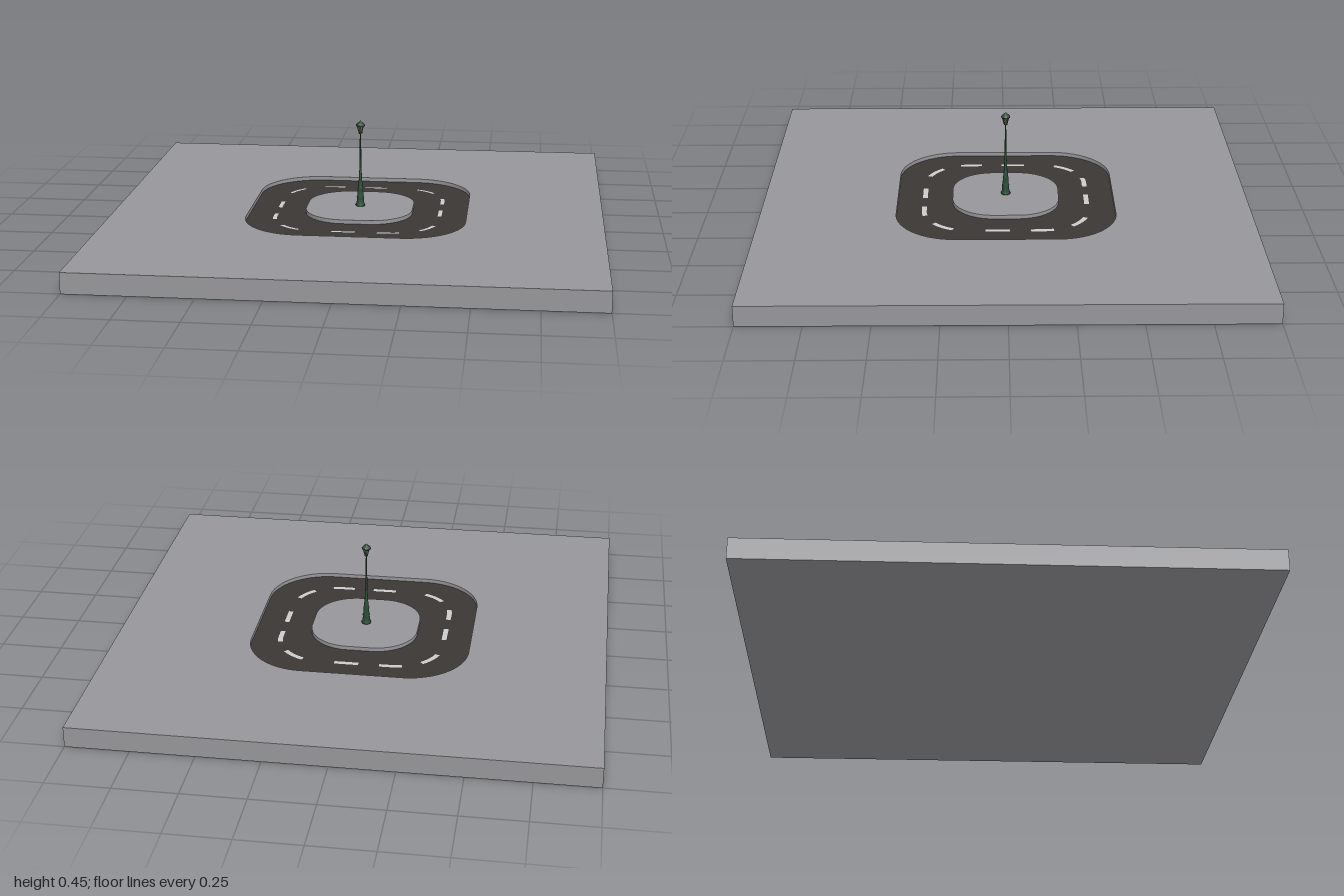
import * as THREE from 'three';

const TOP = 0.083, ROAD = 0.067; // ground level and sunken road level

// Rounded square outline starting at the middle of the +x side
function roundedSquare(half, radius) {
  const s = new THREE.Shape(), c = half - radius, q = Math.PI / 2;
  s.moveTo(half, 0);
  [[c, c], [-c, c], [-c, -c], [c, -c]].forEach(([x, y], i) =>
    s.absarc(x, y, radius, i * q, (i + 1) * q, false));
  s.closePath();
  return s;
}

// Ribbon of quads between two rows of points
function ribbon(a, b) {
  const pos = [], index = [];
  a.forEach((p, i) => {
    pos.push(p.x, p.y, p.z, b[i].x, b[i].y, b[i].z);
    if (i) index.push(2 * i - 2, 2 * i, 2 * i + 1, 2 * i - 2, 2 * i + 1, 2 * i - 1);
  });
  const g = new THREE.BufferGeometry();
  g.setAttribute('position', new THREE.Float32BufferAttribute(pos, 3));
  g.setIndex(index);
  g.computeVertexNormals();
  return g;
}

const flat = (shape, y) => new THREE.ShapeGeometry(shape, 16).rotateX(-Math.PI / 2).translate(0, y, 0);
const paint = (color, extra = {}) => new THREE.MeshStandardMaterial({ color, ...extra });

export function createModel() {
  const model = new THREE.Group();
  const add = (name, geometry, material, parent = model) => {
    const mesh = new THREE.Mesh(geometry, material);
    mesh.name = name;
    parent.add(mesh);
    return mesh;
  };
  const both = { side: THREE.DoubleSide };
  const stone = paint(0x97979b, both), asphalt = paint(0x3b3735, both);
  const white = paint(0xc4c4c2, both), iron = paint(0x294a35);
  const glass = paint(0x5a5a4a, { flatShading: true });

  const outer = roundedSquare(0.447, 0.245);
  const inner = roundedSquare(0.22, 0.17);
  const centre = roundedSquare(0.335, 0.19);

  // Slab: sides and bottom from a box without its top face
  const box = new THREE.BoxGeometry(2, TOP, 2).translate(0, TOP / 2, 0);
  const idx = Array.from(box.index.array);
  idx.splice(12, 6);
  box.setIndex(idx);
  box.clearGroups();
  add('slab', box, stone);

  // Ground around the road and the island inside it
  const square = new THREE.Shape([[-1, -1], [1, -1], [1, 1], [-1, 1]].map(p => new THREE.Vector2(...p)));
  square.holes.push(outer);
  add('ground', flat(square, TOP), stone);
  add('island', flat(inner, TOP), stone);

  // Low walls along both road edges
  for (const [name, shape] of [['outerKerb', outer], ['innerKerb', inner]]) {
    const pts = shape.getPoints(16);
    const row = y => pts.map(p => new THREE.Vector3(p.x, y, -p.y));
    add(name, ribbon(row(ROAD), row(TOP)), stone);
  }

  // Sunken road ring
  const ring = roundedSquare(0.447, 0.245);
  ring.holes.push(inner);
  add('road', flat(ring, ROAD), asphalt);

  // Lane dashes: one on each side's middle, two on each corner
  const length = centre.getLength(), quarter = length / 4;
  const dashes = new THREE.Group();
  dashes.name = 'laneDashes';
  model.add(dashes);
  for (let side = 0; side < 4; side++) {
    for (const [from, to] of [[-0.046, 0.046], [0.13, 0.228], [quarter - 0.228, quarter - 0.13]]) {
      const a = [], b = [];
      for (let i = 0; i <= 8; i++) {
        const u = ((side * quarter + from + (to - from) * i / 8) / length + 1) % 1;
        const p = centre.getPoint(u), t = centre.getTangent(u);
        const at = d => new THREE.Vector3(p.x + t.y * d, ROAD + 0.002, -(p.y - t.x * d));
        a.push(at(0.01));
        b.push(at(-0.01));
      }
      add('dash', ribbon(a, b), white, dashes);
    }
  }

  // Street lamp: stepped foot, tapering pole, lantern
  const lamp = new THREE.Group();
  lamp.name = 'streetLamp';
  lamp.position.y = TOP;
  model.add(lamp);
  const lathe = (pts, n) => new THREE.LatheGeometry(pts.map(p => new THREE.Vector2(...p)), n);
  add('foot', lathe([[0, 0], [0.02, 0], [0.02, 0.006], [0.016, 0.012], [0.014, 0.035], [0.016, 0.038],
    [0.013, 0.044], [0.011, 0.07], [0.013, 0.073], [0.01, 0.079], [0.007, 0.11], [0.005, 0.15], [0, 0.152]], 12), iron);
  add('pole', new THREE.CylinderGeometry(0.003, 0.005, 0.16, 10).translate(0, 0.2, 0), iron);
  add('neck', new THREE.CylinderGeometry(0.002, 0.003, 0.035, 8).translate(0, 0.295, 0), iron);
  add('lanternCup', lathe([[0, 0.306], [0.007, 0.308], [0.008, 0.314], [0, 0.315]], 8), iron);
  add('lanternGlass', new THREE.CylinderGeometry(0.015, 0.007, 0.028, 6).translate(0, 0.328, 0), glass);
  for (let i = 0; i < 6; i++) {
    const a = i * Math.PI / 3;
    const bar = new THREE.LineCurve3(
      new THREE.Vector3(Math.sin(a) * 0.007, 0.314, Math.cos(a) * 0.007),
      new THREE.Vector3(Math.sin(a) * 0.015, 0.342, Math.cos(a) * 0.015));
    add('lanternBar', new THREE.TubeGeometry(bar, 1, 0.0012, 5), iron, lamp);
  }
  add('lanternCap', lathe([[0, 0.341], [0.019, 0.341], [0.019, 0.345], [0.011, 0.354],
    [0.004, 0.357], [0.003, 0.361], [0, 0.363]], 12), iron);
  for (const name of ['foot', 'pole', 'neck', 'lanternCup', 'lanternGlass', 'lanternCap'])
    lamp.add(model.getObjectByName(name));

  return model;
}
